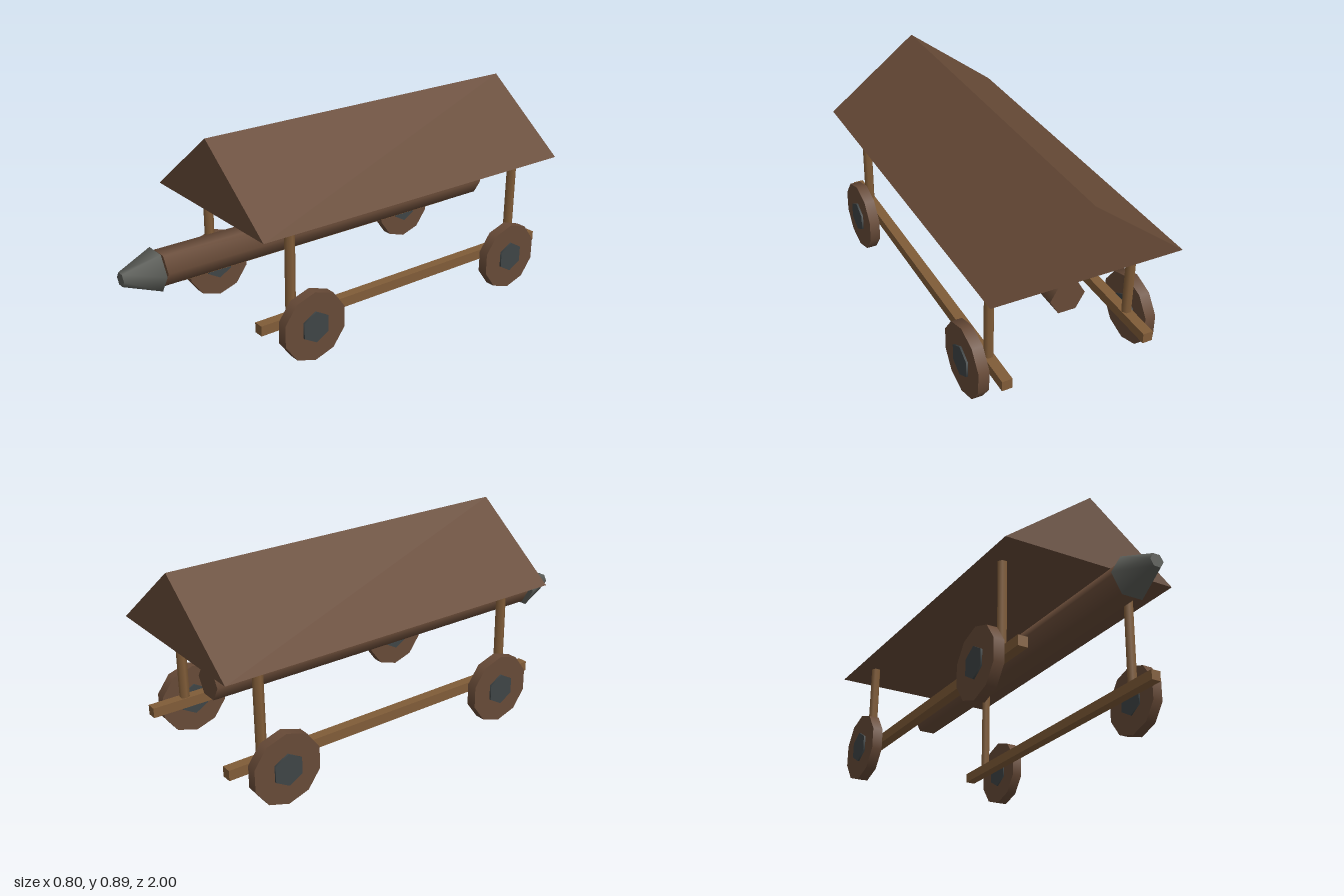
import * as THREE from 'three';

const mat = (name, color) => {
  const m = new THREE.MeshStandardMaterial({ color });
  m.name = name;
  return m;
};

export function createModel() {
  const model = new THREE.Group();
  model.name = 'coveredBatteringRam';

  const brown = mat('dark brown wood', 0x674a37);
  const tan = mat('light wood', 0x805c38);
  const iron = mat('iron', 0x5a5c57);
  const hubIron = mat('dark iron', 0x3e4445);

  const add = (name, geometry, material, x, y, z) => {
    const mesh = new THREE.Mesh(geometry, material);
    mesh.name = name;
    mesh.position.set(x, y, z);
    model.add(mesh);
    return mesh;
  };

  // Cylinder with a corner on the sideways axis
  const prism = (rTop, rBottom, length, sides) =>
    new THREE.CylinderGeometry(rTop, rBottom, length, sides, 1, false, Math.PI / 2);

  // Gabled roof, closed underneath
  const gable = new THREE.Shape();
  gable.moveTo(-0.4, 0.587);
  gable.lineTo(0.4, 0.587);
  gable.lineTo(0, 0.893);
  gable.closePath();
  const roof = new THREE.ExtrudeGeometry(gable, { depth: 1.6, bevelEnabled: false });
  add('roof', roof, brown, 0, 0, -1);

  // Ram: log running front to back, with a blunt iron head
  const log = prism(0.075, 0.075, 1.69, 6).rotateX(Math.PI / 2);
  add('ramLog', log, brown, 0, 0.403, -0.014);
  const head = prism(0.03, 0.092, 0.155, 6).rotateX(Math.PI / 2);
  add('ramHead', head, iron, 0, 0.401, 0.9225);

  // Side frames, posts and wheels
  const beam = new THREE.BoxGeometry(0.044, 0.044, 1.545);
  const post = prism(0.0215, 0.0215, 0.389, 6);
  const wheel = prism(0.154, 0.154, 0.046, 10).rotateZ(Math.PI / 2);
  const hub = prism(0.069, 0.069, 0.06, 6).rotateZ(Math.PI / 2);

  for (const side of [1, -1]) {
    const label = side > 0 ? 'left' : 'right';
    add(label + 'Beam', beam, tan, side * 0.309, 0.178, -0.1975);
    for (const [end, postZ, wheelZ] of [['Front', 0.419, 0.356], ['Back', -0.814, -0.75]]) {
      add(label + end + 'Post', post, tan, side * 0.309, 0.3945, postZ);
      add(label + end + 'Wheel', wheel, brown, side * 0.369, 0.155, wheelZ);
      add(label + end + 'Hub', hub, hubIron, side * 0.37, 0.155, wheelZ);
    }
  }
  return model;
}
